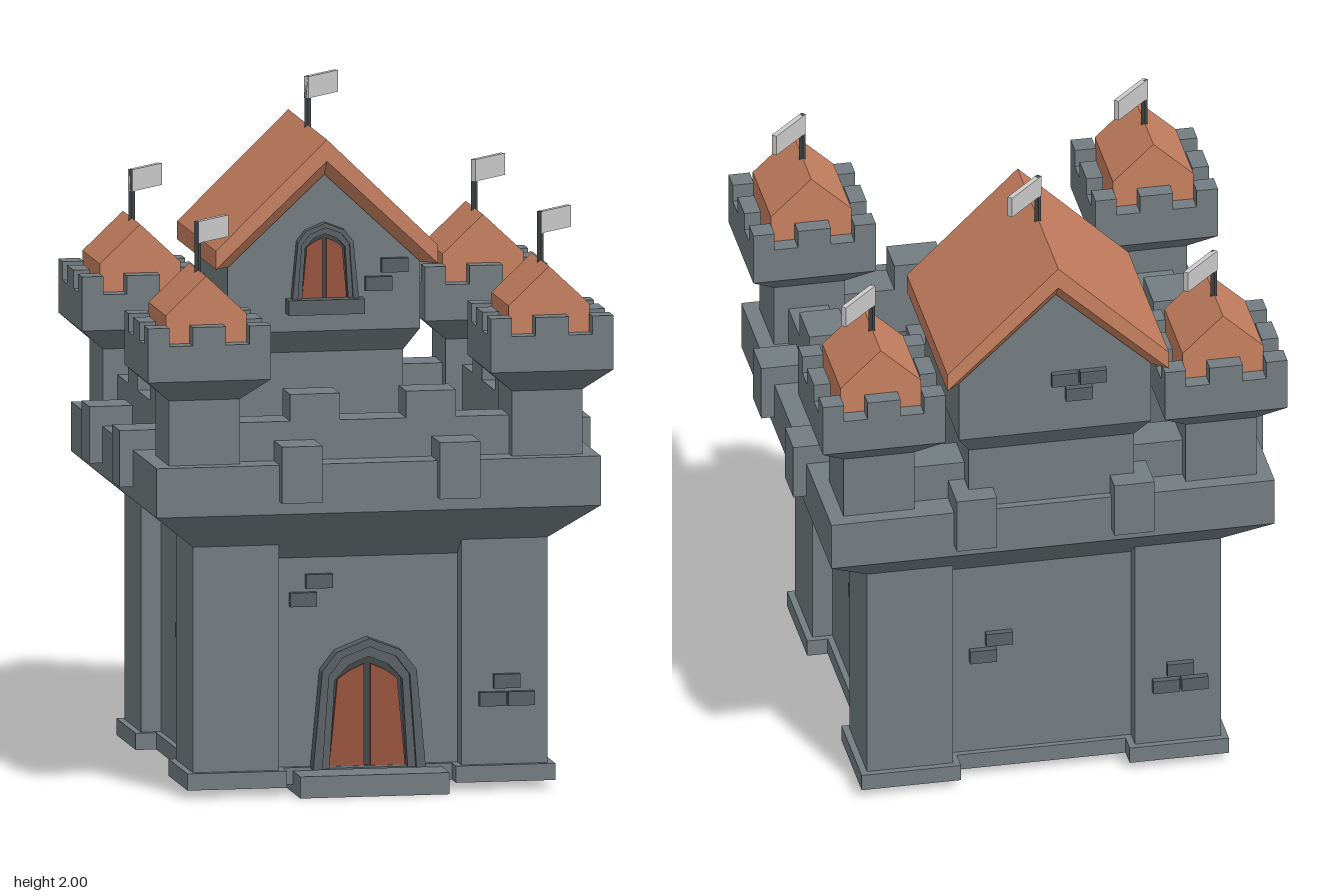
import * as THREE from 'three';

const mat = (color) => new THREE.MeshStandardMaterial({ color, flatShading: true });

export function createModel() {
  const stone = mat(0x737d81), darkStone = mat(0x585f64), trim = mat(0x5a6165);
  const tile = mat(0xc78060), wood = mat(0x99543f), iron = mat(0x45494c), cloth = mat(0xcccccc);
  const model = new THREE.Group();
  model.name = 'castle';

  const add = (parent, name, geo, material, x = 0, y = 0, z = 0) => {
    const m = new THREE.Mesh(geo, material);
    m.name = name;
    m.position.set(x, y, z);
    parent.add(m);
    return m;
  };
  const group = (parent, name, x = 0, y = 0, z = 0) => {
    const g = new THREE.Group();
    g.name = name;
    g.position.set(x, y, z);
    parent.add(g);
    return g;
  };
  // box given by its limits
  const block = (parent, name, [x0, x1], [y0, y1], [z0, z1], material = stone) =>
    add(parent, name, new THREE.BoxGeometry(x1 - x0, y1 - y0, z1 - z0), material,
      (x0 + x1) / 2, (y0 + y1) / 2, (z0 + z1) / 2);
  // box whose lower face is narrower than its upper face
  const flare = (w0, d0, w1, d1, h) => {
    const g = new THREE.BoxGeometry(w1, h, d1), p = g.attributes.position;
    for (let i = 0; i < p.count; i++)
      if (p.getY(i) < 0) p.setXYZ(i, p.getX(i) * w0 / w1, p.getY(i), p.getZ(i) * d0 / d1);
    g.translate(0, h / 2, 0);
    return g;
  };
  const poly = (pts) => pts.map(([x, y]) => new THREE.Vector2(x, y));
  const prism = (pts, depth, hole) => {
    const s = new THREE.Shape(poly(pts));
    if (hole) s.holes.push(new THREE.Path(poly(hole)));
    return new THREE.ExtrudeGeometry(s, { depth, bevelEnabled: false });
  };
  const square = (r) => [[-r, -r], [r, -r], [r, r], [-r, r]];
  // upright square tube
  const ring = (r, inner, h) => prism(square(r), h, square(inner)).rotateX(-Math.PI / 2);
  const mirrored = (half) => [...half, ...half.slice(0, -1).reverse().map(([x, y]) => [-x, y])];

  const flag = (parent, x, y, z) => {
    const g = group(parent, 'flag', x, y, z);
    block(g, 'flagPole', [-0.007, 0.007], [-0.03, 0.145], [-0.007, 0.007], iron);
    block(g, 'flagCloth', [-0.007, 0.15], [0.08, 0.145], [-0.008, 0.008], cloth);
    g.rotation.y = Math.PI / 4;
  };

  // arched opening with a stepped frame and two leaves
  const doorway = (parent, name, y, z, s) => {
    const g = group(parent, name, 0, y, z);
    g.scale.setScalar(s);
    const outer = mirrored([[0.17, 0], [0.142, 0.295], [0.098, 0.352], [0, 0.39]]);
    const middle = mirrored([[0.142, 0], [0.122, 0.28], [0.08, 0.335], [0, 0.365]]);
    const inner = mirrored([[0.118, 0], [0.102, 0.265], [0.06, 0.31], [0, 0.335]]);
    add(g, 'outerFrame', prism(outer, 0.08, middle), trim, 0, 0, -0.03);
    add(g, 'innerFrame', prism(middle, 0.065, inner), trim, 0, 0, -0.03);
    add(g, 'doorBack', prism(inner, 0.05), iron, 0, 0, -0.045);
    for (const side of [-1, 1]) {
      const leaf = [[0.01, 0], [0.115, 0], [0.09, 0.265], [0.055, 0.29], [0.01, 0.31]].map(([x, v]) => [x * side, v]);
      add(g, 'doorLeaf', prism(leaf, 0.07), wood, 0, 0, -0.055);
    }
  };

  // ---- lower castle, the same on all four sides ----
  const base = group(model, 'lowerCastle', 0, 0, 0.02);
  block(base, 'walls', [-0.475, 0.475], [0.06, 0.72], [-0.475, 0.475]);
  add(base, 'wallPlinth', ring(0.493, 0.465, 0.05), stone, 0, 0.025, 0);
  add(base, 'corbel', flare(0.94, 0.94, 1.34, 1.34, 0.165), stone, 0, 0.697, 0);
  add(base, 'outerParapet', ring(0.67, 0.57, 0.148), stone, 0, 0.862, 0);
  add(base, 'innerParapet', ring(0.58, 0.46, 0.265), stone, 0, 0.862, 0);
  block(base, 'courtyard', [-0.47, 0.47], [0.86, 0.98], [-0.47, 0.47], darkStone);
  block(base, 'courtyardPath', [-0.215, 0.215], [0.97, 1.0], [-0.09, 0.465]);

  for (let i = 0; i < 4; i++) {
    const side = group(base, 'wallSide');
    side.rotation.y = i * Math.PI / 2;
    for (const s of [-1, 1]) {
      add(side, 'merlon', new THREE.BoxGeometry(0.15, 0.2, 0.12), stone, s * 0.175, 1.107, 0.52);
      add(side, 'parapetBlock', new THREE.BoxGeometry(0.122, 0.17, 0.13), stone, s * 0.238, 0.985, 0.645);
    }
  }

  // corner pillars with towers on top
  for (const sx of [-1, 1]) for (const sz of [-1, 1]) {
    const pillar = group(base, 'cornerPillar', sx * 0.405, 0, sz * 0.405);
    block(pillar, 'pillar', [-0.13, 0.13], [0.06, 0.8], [-0.13, 0.13]);
    add(pillar, 'pillarPlinth', ring(0.15, 0.115, 0.05), stone, 0, 0.025, 0);

    const tower = group(base, 'tower', sx * 0.517, 0, sz * 0.517);
    block(tower, 'towerShaft', [-0.107, 0.107], [0.9, 1.22], [-0.107, 0.107]);
    add(tower, 'towerCorbel', flare(0.214, 0.214, 0.37, 0.37, 0.068), stone, 0, 1.205, 0);
    add(tower, 'towerParapet', ring(0.185, 0.135, 0.107), stone, 0, 1.273, 0);
    block(tower, 'towerFloor', [-0.14, 0.14], [1.265, 1.32], [-0.14, 0.14]);
    for (let i = 0; i < 4; i++) {
      const edge = group(tower, 'battlement');
      edge.rotation.y = i * Math.PI / 2;
      add(edge, 'cornerTooth', new THREE.BoxGeometry(0.064, 0.075, 0.064), stone, 0.153, 1.3975, 0.153);
      add(edge, 'tooth', new THREE.BoxGeometry(0.1, 0.075, 0.05), stone, 0, 1.3975, 0.16);
    }
    add(tower, 'towerRoof', prism([[-0.122, 1.3], [0.122, 1.3], [0.122, 1.465], [0, 1.58], [-0.122, 1.465]], 0.27),
      tile, 0, 0, -0.135);
    flag(tower, 0, 1.58, 0);
  }

  // entrance
  doorway(model, 'entrance', 0.07, 0.495, 1);
  block(model, 'doorStep', [-0.225, 0.225], [0, 0.065], [0.335, 0.63]);

  // ---- keep at the back ----
  const keep = group(model, 'keep', 0, 0, -0.425);
  block(keep, 'keepBase', [-0.25, 0.25], [0.9, 1.22], [-0.2, 0.2]);
  add(keep, 'keepCorbel', flare(0.5, 0.4, 0.58, 0.51, 0.07), stone, 0, 1.205, 0);
  add(keep, 'keepWalls', prism([[-0.29, 1.275], [0.29, 1.275], [0.29, 1.5], [0, 1.78], [-0.29, 1.5]], 0.51),
    stone, 0, 0, -0.255);
  add(keep, 'roof', prism([[-0.335, 1.53], [-0.335, 1.475], [0, 1.79], [0.335, 1.475], [0.335, 1.53], [0, 1.855]], 0.605),
    tile, 0, 0, -0.3025);
  // roof underside, its ends sloping back to the gable walls
  const lining = prism([[-0.335, 1.475], [-0.29, 1.475], [0, 1.745], [0.29, 1.475], [0.335, 1.475], [0, 1.79]], 0.605);
  lining.translate(0, 0, -0.3025);
  const lp = lining.attributes.position;
  for (let i = 0; i < lp.count; i++)
    if (Math.abs(lp.getX(i)) < 0.3 && lp.getY(i) < 1.76) lp.setZ(i, lp.getZ(i) * 0.87);
  add(keep, 'roofLining', lining, tile);
  flag(keep, 0, 1.855, 0);
  doorway(keep, 'keepWindow', 1.372, 0.255, 0.59);
  block(keep, 'windowSill', [-0.115, 0.115], [1.33, 1.375], [0.24, 0.305], trim);

  // ---- raised bricks: turn about y, distance to wall, list of [across, height] ----
  const bricks = (turn, dist, list) => {
    const g = group(model, 'raisedBricks', 0, 0, 0.02);
    g.rotation.y = turn * Math.PI / 2;
    for (const [x, y] of list)
      add(g, 'brick', new THREE.BoxGeometry(0.08, 0.042, 0.04), trim, x, y, dist);
  };
  const pair = (x, y) => [[x + 0.024, y + 0.027], [x - 0.024, y - 0.027]];
  const trio = (x, y) => [[x - 0.043, y], [x + 0.043, y], [x, y + 0.053]];
  const trioDown = (x, y) => [[x - 0.043, y], [x + 0.043, y], [x, y - 0.053]];
  bricks(0, 0.475, pair(-0.169, 0.604));
  bricks(0, 0.535, trio(0.41, 0.272));
  bricks(1, 0.475, trioDown(0.14, 0.425));
  bricks(2, 0.475, pair(-0.15, 0.43));
  bricks(2, 0.535, trio(0.41, 0.272));
  bricks(3, 0.475, trioDown(0.13, 0.43));
  bricks(0, -0.19, pair(0.187, 1.441));
  bricks(2, 0.7, trioDown(0.07, 1.455));

  return model;
}
